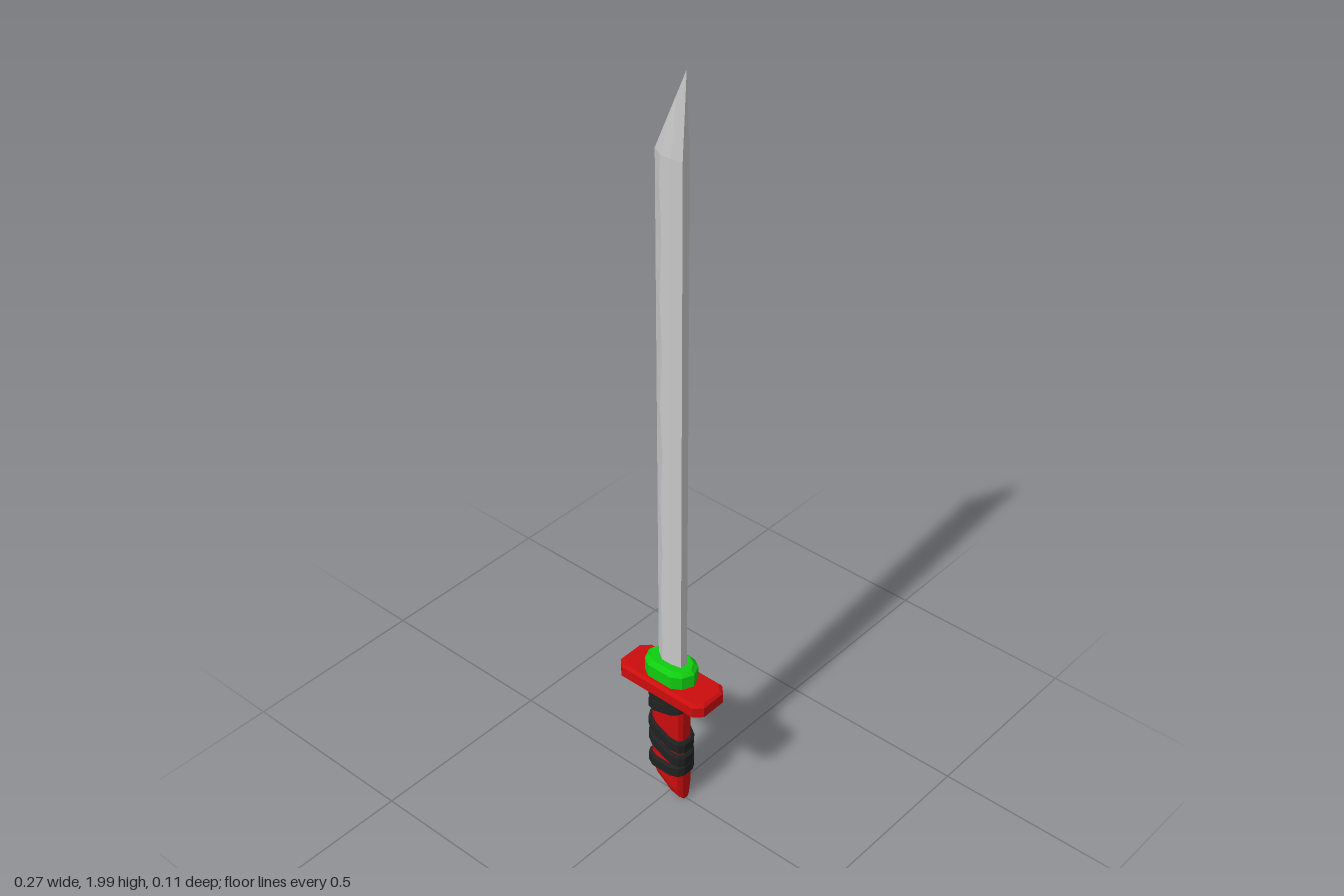
import * as THREE from 'three';

const mat = (name, color) => {
  const m = new THREE.MeshStandardMaterial({ color, flatShading: true });
  m.name = name;
  return m;
};

// Skin a stack of equal-length rings, bottom to top, and cap both ends.
function loft(rings) {
  const pos = [], n = rings[0].length;
  const A = new THREE.Vector3(), B = new THREE.Vector3();
  const tri = (a, b, c) => {
    A.subVectors(b, a);
    B.subVectors(c, a);
    if (A.cross(B).length() < 1e-9) return;
    for (const p of [a, b, c]) pos.push(p.x, p.y, p.z);
  };
  for (let i = 0; i < rings.length - 1; i++) {
    for (let j = 0; j < n; j++) {
      const k = (j + 1) % n, lo = rings[i], hi = rings[i + 1];
      tri(lo[j], lo[k], hi[k]);
      tri(lo[j], hi[k], hi[j]);
    }
  }
  const bottom = rings[0], top = rings[rings.length - 1];
  for (let j = 1; j < n - 1; j++) {
    tri(bottom[0], bottom[j + 1], bottom[j]);
    tri(top[0], top[j], top[j + 1]);
  }
  const g = new THREE.BufferGeometry();
  g.setAttribute('position', new THREE.Float32BufferAttribute(pos, 3));
  g.computeVertexNormals();
  return g;
}

// Mirror the +x, +z corner points into a full outline, counterclockwise from above.
function outline(corner) {
  const all = [];
  for (const sx of [1, -1]) for (const sz of [1, -1]) {
    for (const [x, z] of corner) all.push([x * sx, z * sz]);
  }
  const unique = all.filter(([x, z], i) =>
    all.findIndex(([u, v]) => Math.abs(u - x) + Math.abs(v - z) < 1e-6) === i);
  return unique.sort((a, b) => Math.atan2(-a[1], a[0]) - Math.atan2(-b[1], b[0]));
}

// Horizontal ring moved inwards by inset; y may depend on x.
const ring = (pts, y, inset = 0) => {
  const hx = Math.max(...pts.map(p => p[0])), hz = Math.max(...pts.map(p => p[1]));
  return pts.map(([x, z]) => {
    const px = x * (1 - inset / hx), pz = z * (1 - inset / hz);
    return new THREE.Vector3(px, typeof y === 'function' ? y(px) : y, pz);
  });
};

// Block with bevelled top and bottom rims.
const bevelled = (pts, y0, y1, b) =>
  loft([ring(pts, y0, b), ring(pts, y0 + b, 0), ring(pts, y1 - b, 0), ring(pts, y1, b)]);

export function createModel() {
  const group = new THREE.Group();
  group.name = 'sword';
  const steel = mat('steel', 0xc8c8c8);
  const red = mat('red', 0xcc0d0d);
  const green = mat('green', 0x10cc10);
  const black = mat('black', 0x202222);
  const add = (name, geometry, material) => {
    const m = new THREE.Mesh(geometry, material);
    m.name = name;
    group.add(m);
    return m;
  };

  // Blade: flat spine at +x, cutting edge at -x, gently waving bevel line
  const section = (y, edge, bevel) => [
    [0.04, 0.011], [0.04, -0.011], [0.012, -0.017], [bevel, -0.017],
    [edge, 0], [bevel, 0.017], [0.012, 0.017],
  ].map(([x, z]) => new THREE.Vector3(x, y, z));
  const bladeRings = [];
  for (let i = 0; i <= 20; i++) {
    const t = i / 20;
    bladeRings.push(section(0.42 + 1.38 * t, -0.041 - 0.005 * t, -0.016 + 0.003 * Math.sin(i * 1.57)));
  }
  // Slanted point, closing to a ridge on the centre plane
  bladeRings.push(section(1.8, -0.046, -0.016).map(p =>
    new THREE.Vector3(p.x, 1.8 + 0.2 * (p.x + 0.046) / 0.086, 0)));
  add('blade', loft(bladeRings), steel);

  // Collar and guard
  add('collar', bevelled(outline([[0.073, 0], [0.06, 0.03], [0.036, 0.045]]), 0.385, 0.442, 0.011), green);
  add('guard', bevelled(outline([[0.135, 0.035], [0.115, 0.055]]), 0.35, 0.392, 0.007), red);

  // Grip with a slanted, rounded pommel end
  const grip = outline([[0.049, 0.012], [0.042, 0.024], [0.024, 0.032]]);
  const slant = lift => x => lift + 0.043 - 0.75 * x;
  add('grip', loft([
    ring(grip, slant(0), 0).map(p => new THREE.Vector3(p.x * 0.97, p.y, p.z * 0.5)),
    ring(grip, slant(0.008), 0).map(p => new THREE.Vector3(p.x, p.y, p.z * 0.8)),
    ring(grip, slant(0.03), 0),
    ring(grip, 0.36, 0),
  ]), red);

  // Tilted bands wound around the grip: centre height, slope, half width
  const bands = [
    [0.335, 0.1, 0.016], [0.308, 0.28, 0.018],
    [0.213, -0.45, 0.018], [0.168, -0.45, 0.018], [0.113, 0, 0.018],
  ];
  bands.forEach(([y, slope, h], i) => {
    const at = (dy, inset) => ring(grip, x => y + dy + slope * x, inset);
    add('gripWrap' + (i + 1), loft([
      at(-h, 0.002), at(-h, -0.004), at(-h + 0.005, -0.008),
      at(h - 0.005, -0.008), at(h, -0.004), at(h, 0.002),
    ]), black);
  });

  return group;
}
